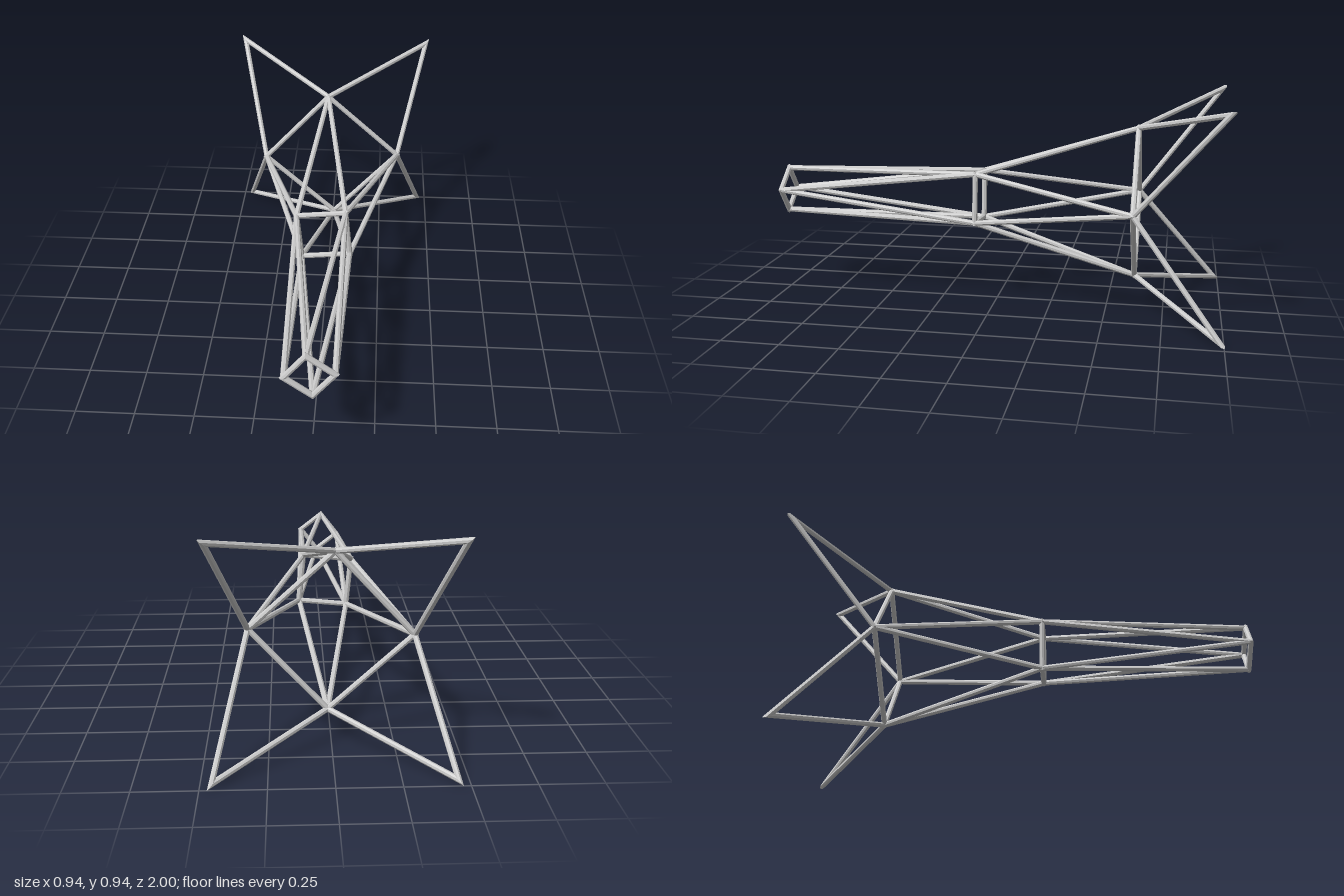
import * as THREE from 'three';

const RADIUS = 0.012, SIDES = 8, CENTRE_Y = 0.47;

export function createModel() {
  const model = new THREE.Group();
  model.name = 'spaceFrame';
  const steel = new THREE.MeshStandardMaterial({ color: 0xcccccc, flatShading: true });
  steel.name = 'light grey steel';

  // Four nodes turned a quarter round the long axis each time
  const ring = (x, y, z) => [0, 1, 2, 3].map((k) => {
    const v = new THREE.Vector3(x, y, z).applyAxisAngle(new THREE.Vector3(0, 0, 1), -k * Math.PI / 2);
    v.y += CENTRE_Y;
    return v;
  });

  // Round bar from a to b; prev and next are the neighbouring nodes for mitred ends
  function bar(name, a, b, up, prev, next) {
    const dir = b.clone().sub(a), len = dir.length();
    dir.normalize();
    const side = new THREE.Vector3().crossVectors(dir, up).normalize();
    const top = new THREE.Vector3().crossVectors(side, dir);
    const basis = new THREE.Matrix4().makeBasis(side, dir, top);
    basis.setPosition(a.clone().add(b).multiplyScalar(0.5));
    const geo = new THREE.CylinderGeometry(RADIUS, RADIUS, len, SIDES).toNonIndexed();
    const pos = geo.attributes.position, v = new THREE.Vector3();
    for (let i = 0; i < pos.count; i++) {
      v.fromBufferAttribute(pos, i);
      const atB = v.y > 0;
      v.applyMatrix4(basis);
      const node = atB ? b : a, other = atB ? next : prev;
      if (other) {
        // Slide the end along the bar onto the plane halving the corner
        const d = dir.clone().multiplyScalar(atB ? -1 : 1);
        const n = d.clone().sub(other.clone().sub(node).normalize());
        v.addScaledVector(d, -v.clone().sub(node).dot(n) / d.dot(n));
      }
      pos.setXYZ(i, v.x, v.y, v.z);
    }
    geo.computeVertexNormals();
    const mesh = new THREE.Mesh(geo, steel);
    mesh.name = name;
    model.add(mesh);
  }

  const front = ring(-0.012, 0.096, 0.988);
  const middle = ring(0.097, 0.118, 0.08);
  const rear = ring(-0.015, 0.326, -0.62);
  const tips = ring(0.455, 0.455, -0.982);
  const axis = new THREE.Vector3(0, 0, 1);

  // Square frames
  const frames = [['frontFrame', front], ['middleFrame', middle], ['rearFrame', rear]];
  for (const [name, p] of frames) {
    for (let k = 0; k < 4; k++) {
      bar(name, p[k], p[(k + 1) % 4], axis, p[(k + 3) % 4], p[(k + 2) % 4]);
    }
  }

  for (let k = 0; k < 4; k++) {
    const n = (k + 1) % 4;
    // Zigzag struts joining neighbouring frames
    bar('frontStrut', front[k], middle[k], axis);
    bar('frontStrut', front[n], middle[k], axis);
    bar('rearStrut', middle[k], rear[k], axis);
    bar('rearStrut', middle[k], rear[n], axis);
    // Pointed fin behind each side of the rear frame
    const up = new THREE.Vector3().crossVectors(
      rear[k].clone().sub(tips[k]), rear[n].clone().sub(tips[k])).normalize();
    bar('finBar', rear[k], tips[k], up, null, rear[n]);
    bar('finBar', tips[k], rear[n], up, rear[k], null);
  }
  return model;
}
